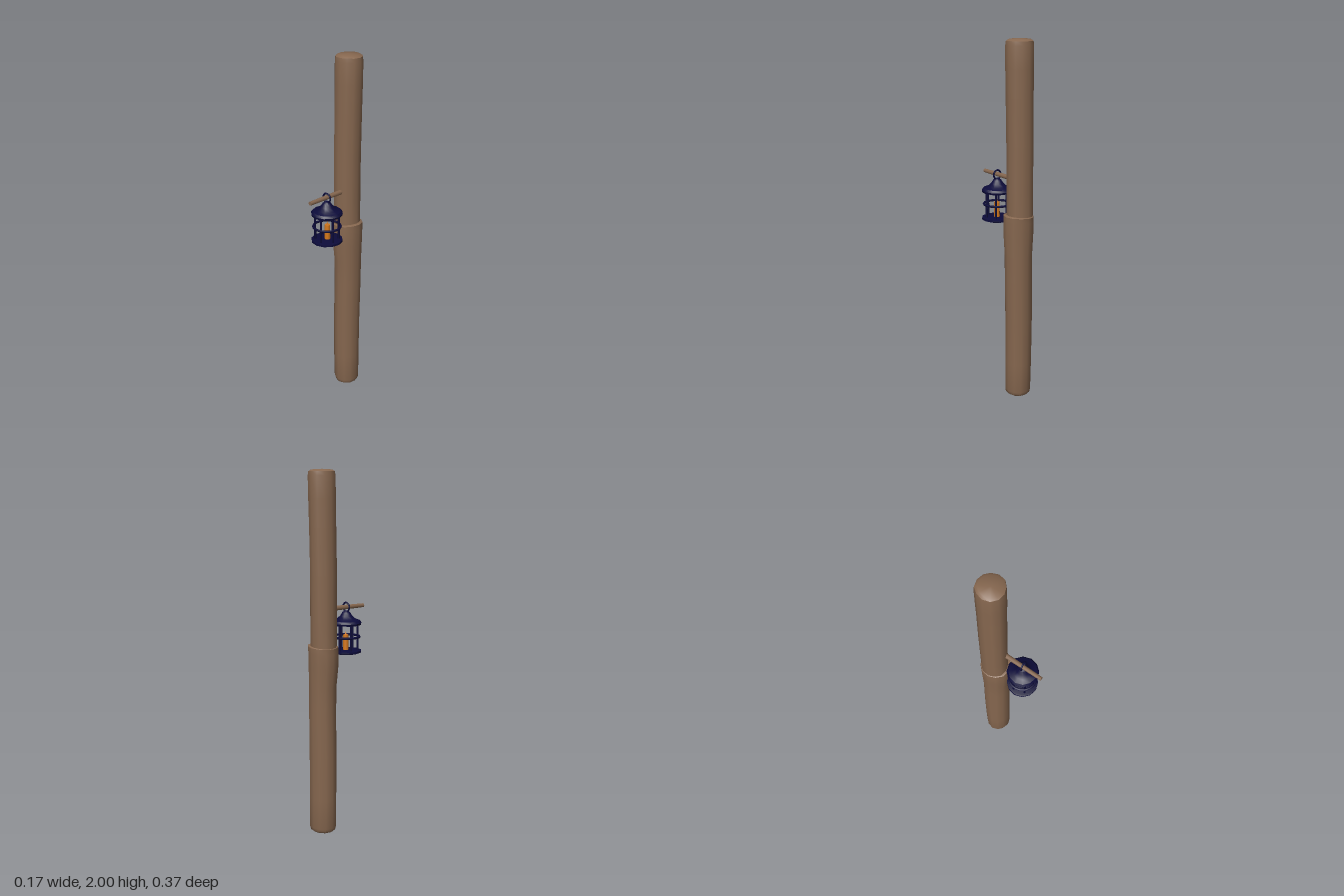
import * as THREE from 'three';
import { mergeVertices, toCreasedNormals } from 'three/addons/utils/BufferGeometryUtils.js';

const wood = new THREE.MeshStandardMaterial({ color: 0x86674f });
wood.name = 'weathered wood';
const iron = new THREE.MeshStandardMaterial({ color: 0x0c0b3a });
iron.name = 'dark blue iron';
const wax = new THREE.MeshStandardMaterial({ color: 0xd97a1c });
wax.name = 'orange candle';

function part(parent, name, geometry, material, x = 0, y = 0, z = 0) {
  const mesh = new THREE.Mesh(geometry, material);
  mesh.name = name;
  mesh.position.set(x, y, z);
  parent.add(mesh);
  return mesh;
}

function lathe(profile, sides) {
  return new THREE.LatheGeometry(profile.map(([r, y]) => new THREE.Vector2(r, y)), sides);
}

// A hewn log from rows of [radius, height, x shift, z shift], slightly uneven around
function log(rows, rimTilt = 0) {
  const sides = 12;
  let g = lathe(rows, sides);
  const p = g.attributes.position;
  for (let i = 0; i < p.count; i++) {
    const [, y, dx = 0, dz = 0] = rows[i % rows.length];
    const a = ((Math.floor(i / rows.length) % sides) / sides) * Math.PI * 2;
    const k = 1 + 0.022 * Math.sin(3 * a + y * 2) + 0.012 * Math.cos(5 * a - y * 3);
    const tilt = rimTilt && y > 1 ? rimTilt * Math.sin(a) : 0;
    p.setXYZ(i, p.getX(i) * k + dx, y + tilt, p.getZ(i) * k + dz);
  }
  g.deleteAttribute('uv');
  g.deleteAttribute('normal');
  g = mergeVertices(g, 1e-5);
  return toCreasedNormals(g, 0.75);
}

function makePost() {
  const post = new THREE.Group();
  post.name = 'post';
  post.position.z = -0.104;
  // Lower log, flared around the joint
  part(post, 'lowerLog', log([
    [0, 0], [0.058, 0.002], [0.069, 0.01], [0.074, 0.03], [0.075, 0.2, -0.002],
    [0.076, 0.45, -0.002], [0.076, 0.7, 0.002], [0.077, 0.84, 0.002, 0.001],
    [0.083, 0.95, 0, 0.004], [0.084, 1.03, 0, 0.003], [0.083, 1.062, 0.001, 0.002],
    [0.076, 1.066], [0, 1.066],
  ], 0.006), wood);
  // Upper log, set into the flare
  part(post, 'upperLog', log([
    [0, 0.98], [0.073, 0.98, -0.005], [0.073, 1.2, -0.006], [0.073, 1.45, -0.006],
    [0.073, 1.7, -0.002, -0.001], [0.074, 1.85, 0, -0.002], [0.074, 1.965, 0.001, -0.003],
    [0.071, 1.987, 0.001, -0.003], [0.058, 1.996, 0, -0.003], [0, 2],
  ]), wood);
  return post;
}

function makeLantern() {
  const lantern = new THREE.Group();
  lantern.name = 'lantern';
  lantern.position.z = 0.07;
  // Base plate with a chamfered underside
  part(lantern, 'base', toCreasedNormals(lathe([
    [0, 1.004], [0.072, 1.004], [0.086, 1.009], [0.086, 1.02], [0.078, 1.022], [0, 1.022],
  ], 12), 0.5), iron);
  // Swept roof
  part(lantern, 'roof', toCreasedNormals(lathe([
    [0, 1.178], [0.07, 1.172], [0.084, 1.164], [0.087, 1.175], [0.078, 1.187], [0.053, 1.196],
    [0.035, 1.212], [0.022, 1.232], [0.012, 1.24], [0, 1.242],
  ], 12), 0.5), iron);
  // Cage bars
  for (let i = 0; i < 6; i++) {
    const a = (i / 6) * Math.PI * 2 + 0.2;
    part(lantern, 'cageBar', new THREE.CylinderGeometry(0.006, 0.006, 0.16, 6), iron,
      Math.sin(a) * 0.064, 1.098, Math.cos(a) * 0.064);
  }
  // Hoop around the cage
  const hoop = part(lantern, 'cageHoop', new THREE.TorusGeometry(0.075, 0.0065, 6, 18), iron, 0, 1.096, 0);
  hoop.rotation.x = Math.PI / 2;
  // Hanging ring around the peg
  part(lantern, 'hangingRing', new THREE.TorusGeometry(0.025, 0.005, 6, 18), iron, 0, 1.261, 0);
  // Candle, its foot just showing under the base
  part(lantern, 'candle', new THREE.CylinderGeometry(0.015, 0.016, 0.104, 8), wax, 0.003, 1.054, 0);
  part(lantern, 'flame', new THREE.ConeGeometry(0.007, 0.02, 6), wax, 0.003, 1.115, 0);
  return lantern;
}

export function createModel() {
  const model = new THREE.Group();
  model.name = 'lanternPost';
  model.add(makePost(), makeLantern());
  // Peg driven into the post, a little askew
  const peg = part(model, 'peg', new THREE.CylinderGeometry(0.011, 0.014, 0.245, 8), wood, -0.004, 1.262, 0.066);
  peg.rotation.set(Math.PI / 2, 0, 0.075);
  return model;
}
